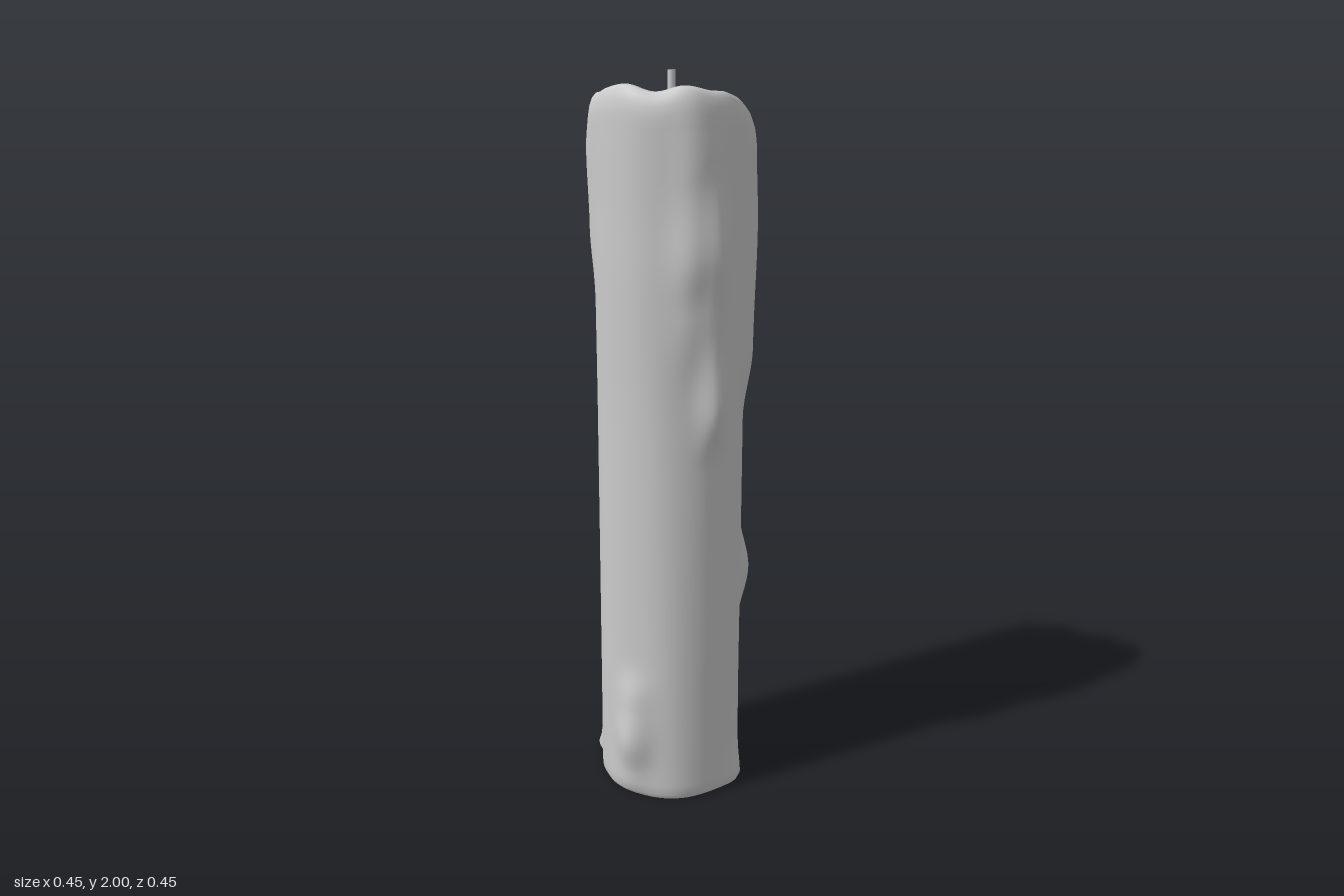
import * as THREE from 'three';

const SEG = 96, CX = 0, CZ = 0.02, BASE = 0.005;
const RAD = Math.PI / 180;
const material = new THREE.MeshStandardMaterial({ color: 0xcccccc });

// Rim height every 22.5 degrees, from the front (+z) towards +x
const RIM = [1.965, 1.98, 1.965, 1.955, 1.925, 1.85, 1.79, 1.755,
  1.745, 1.80, 1.835, 1.91, 1.94, 1.95, 1.97, 1.98];

// Wax runs: angle, angular width, then [height, bulge] stops
const RUNS = [
  { a: 102, w: 17, p: [[1.08, 0], [1.28, 0.024], [1.6, 0.03], [1.8, 0.024], [1.95, 0.006]] },
  { a: 125, w: 10, p: [[0.42, 0], [0.6, 0.046], [0.8, 0.008], [1.0, 0]] },
  { a: 127, w: 14, p: [[1.4, 0], [1.55, 0.015], [1.72, 0.034], [1.85, 0.02]] },
  { a: 27, w: 14, p: [[1.2, 0], [1.42, 0.014], [1.56, 0.03], [1.75, 0.016], [1.95, 0.008]] },
  { a: 46, w: 11, p: [[1.0, 0], [1.16, 0.032], [1.35, 0.02], [1.56, 0.032], [1.8, 0.008], [1.95, 0]] },
  { a: -20, w: 14, p: [[0, 0], [0.06, 0.01], [0.18, 0.035], [0.3, 0.02], [0.42, 0]] },
  { a: 0, w: 50, p: [[1.1, 0], [1.6, 0.01], [1.9, 0.014]] },
  { a: -88, w: 18, p: [[1.4, 0], [1.6, 0.016], [1.8, 0.022], [1.95, 0.01]] },
  { a: -107, w: 9, p: [[0, 0.05], [0.05, 0.036], [0.15, 0.006], [0.3, 0]] },
  { a: 80, w: 16, p: [[0, 0.02], [0.15, 0.004], [0.3, 0]] },
  { a: -147, w: 14, p: [[0.3, 0], [0.6, 0.006], [1.5, 0.008], [1.8, 0.008]] },
  { a: 166, w: 13, p: [[0.35, 0], [0.6, 0.01], [1.0, 0.012], [1.4, 0.022], [1.73, 0.034]] },
  { a: 178, w: 42, p: [[0.4, 0], [0.6, 0.008], [1.0, 0.012], [1.4, 0.02], [1.75, 0.026]] },
];

// Smooth interpolation along [height, value] stops
function ramp(stops, y) {
  if (y <= stops[0][0]) return stops[0][1];
  for (let i = 1; i < stops.length; i++) {
    const [y0, v0] = stops[i - 1], [y1, v1] = stops[i];
    if (y < y1) return v0 + (v1 - v0) * THREE.MathUtils.smoothstep(y, y0, y1);
  }
  return stops[stops.length - 1][1];
}

// Smooth rim height at any angle
function rimHeight(a) {
  const f = a / (Math.PI * 2) * RIM.length, i = Math.floor(f), t = f - i;
  const at = (k) => RIM[(k + RIM.length) % RIM.length];
  return 0.5 * (2 * at(i) + (at(i + 1) - at(i - 1)) * t
    + (2 * at(i - 1) - 5 * at(i) + 4 * at(i + 1) - at(i + 2)) * t * t
    + (3 * at(i) - at(i - 1) - 3 * at(i + 1) + at(i + 2)) * t * t * t);
}

// Radius of the wax column at an angle and height
function radius(a, y) {
  let r = 0.196 + 0.001 * Math.sin(7 * a + 1.5 * y) + 0.001 * Math.sin(4 * a - 1.1 * y);
  for (const run of RUNS) {
    const d = Math.atan2(Math.sin(a - run.a * RAD), Math.cos(a - run.a * RAD)) / (run.w * RAD);
    r += ramp(run.p, y) * Math.exp(-d * d);
  }
  return r;
}

const around = (a, r, y) => [CX + Math.sin(a) * r, y, CZ + Math.cos(a) * r * 0.97];

// Skin a stack of closed rings; point(row, angle) gives each vertex
function loft(name, rows, point) {
  const pos = [], index = [];
  for (let i = 0; i < rows; i++) {
    for (let j = 0; j < SEG; j++) pos.push(...point(i, j / SEG * Math.PI * 2));
  }
  for (let i = 0; i < rows - 1; i++) {
    for (let j = 0; j < SEG; j++) {
      const a = i * SEG + j, b = i * SEG + (j + 1) % SEG;
      index.push(a, b, b + SEG, a, b + SEG, a + SEG);
    }
  }
  const geo = new THREE.BufferGeometry();
  geo.setAttribute('position', new THREE.Float32BufferAttribute(pos, 3));
  geo.setIndex(index);
  geo.computeVertexNormals();
  const mesh = new THREE.Mesh(geo, material);
  mesh.name = name;
  return mesh;
}

export function createModel() {
  const group = new THREE.Group();
  group.name = 'candle';

  // Wax column: outer wall, rounded sloping rim, then the melted hollow
  const WALL = 72, BOWL = 12;
  const LIP = [[0.004, 0.035], [0.011, 0.015], [0.021, 0.003], [0.032, 0], [0.043, 0.007]];
  const wick = { x: 0.006, z: 0.03 };
  group.add(loft('waxBody', WALL + LIP.length + BOWL, (i, a) => {
    const rim = rimHeight(a);
    if (i < WALL) {
      const y = i === 0 ? BASE : BASE + 0.015 + (rim - 0.075 - BASE) * (i - 1) / (WALL - 2);
      return around(a, radius(a, y) - (i === 0 ? 0.008 : 0), y);
    }
    const edge = radius(a, rim - 0.06);
    if (i < WALL + LIP.length) {
      const [inset, drop] = LIP[i - WALL];
      return around(a, edge - inset, rim - drop);
    }
    const t = 1 - (i - WALL - LIP.length + 1) / BOWL;
    const [ex, , ez] = around(a, edge - 0.046, 0);
    const x = wick.x + (ex - wick.x) * t, z = wick.z + (ez - wick.z) * t;
    const floor = 1.86 + 0.5 * (z - wick.z);
    const blend = THREE.MathUtils.smoothstep(t, 0.2, 1.1);
    return [x, floor + (rim - 0.01 - floor) * blend, z];
  }));

  // Flat underside, skinned from the centre outwards
  group.add(loft('underside', 2, (i, a) =>
    i === 0 ? [CX, BASE, CZ] : around(a, radius(a, BASE) - 0.008, BASE)));

  // Wick
  const stem = new THREE.Mesh(new THREE.CylinderGeometry(0.01, 0.01, 0.2, 12), material);
  stem.name = 'wick';
  stem.position.set(wick.x, 1.9, wick.z);
  group.add(stem);

  return group;
}
